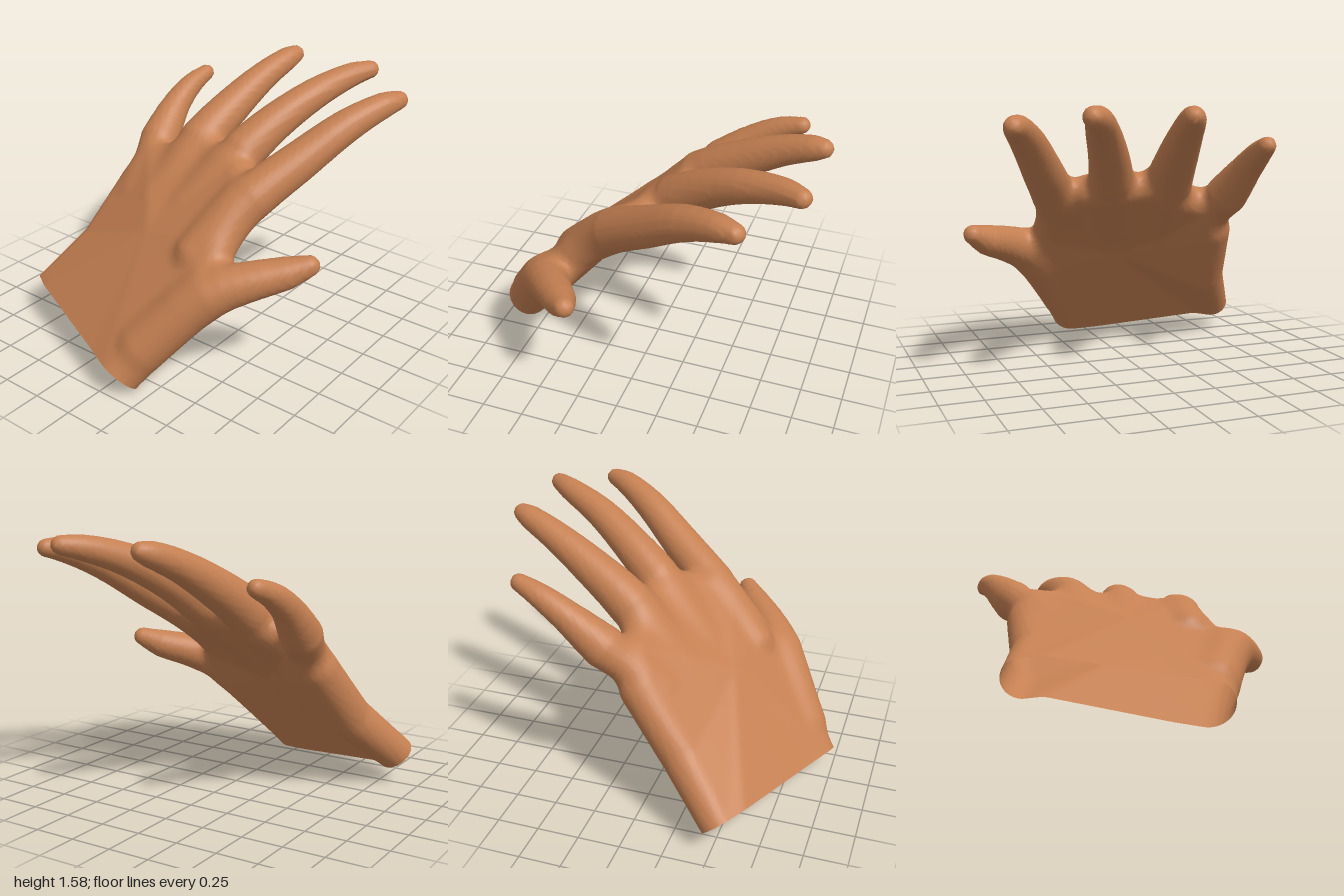
import * as THREE from 'three';

// Hand frame: SIDE across the palm, ALONG towards the fingers, BACK out of its back
const ALONG = new THREE.Vector3(-0.317, -0.728, 0.608).normalize().negate();
const SIDE = ALONG.clone().cross(new THREE.Vector3(-0.26, 0.685, 0.685)).normalize();
const BACK = SIDE.clone().cross(ALONG);
const toWorld = new THREE.Matrix4().makeBasis(SIDE, ALONG, BACK);
const toHand = toWorld.clone().invert();
const handPoint = ([x, y, z]) => new THREE.Vector3(x, y, z).applyMatrix4(toHand);

const STEP = 0.02; // grid size of the skin
const BLEND = 0.07; // softness where the parts meet
const START = [-1.06, -0.44, 0.04]; // the wrist opening lies at the grid's lower ALONG side
const COUNT = [105, 126, 54];

// Middle of the palm and the outline around it: x, y, z, half thickness
const PALM_MIDDLE = [-0.1, 0.7, 0.35, 0.108];
const PALM_EDGE = [
  [-0.95, 0.06, 0.67, 0.11], [-0.84, 0.2, 0.54, 0.11], [-0.645, 0.475, 0.265, 0.13],
  [-0.56, 0.81, -0.01, 0.125], [-0.45, 0.97, -0.08, 0.105], [-0.08, 1.09, -0.14, 0.1],
  [0.24, 1.07, 0, 0.105], [0.36, 0.97, 0.19, 0.11], [0.36, 0.81, 0.37, 0.11],
  [0.37, 0.57, 0.57, 0.12], [0.06, 0.13, 0.89, 0.135], [-0.1, -0.05, 0.99, 0.135],
];

// Each finger runs from inside the palm to its tip: x, y, z, radius
const FINGERS = {
  littleFinger: [[-0.5, 0.8, 0.06, 0.08], [-0.565, 1.05, -0.23, 0.125], [-0.59, 1.22, -0.43, 0.09],
    [-0.585, 1.32, -0.59, 0.07], [-0.565, 1.37, -0.715, 0.052]],
  ringFinger: [[-0.27, 0.82, 0.12, 0.08], [-0.2, 1.14, -0.2, 0.138], [-0.145, 1.31, -0.45, 0.115],
    [-0.085, 1.45, -0.7, 0.09], [-0.035, 1.525, -0.88, 0.073], [-0.014, 1.545, -0.945, 0.055]],
  middleFinger: [[0, 0.88, 0.16, 0.08], [0.15, 1.17, -0.16, 0.132], [0.235, 1.31, -0.35, 0.115],
    [0.355, 1.45, -0.6, 0.095], [0.465, 1.53, -0.84, 0.073], [0.53, 1.55, -0.945, 0.055]],
  indexFinger: [[0.25, 0.78, 0.45, 0.085], [0.415, 1.045, 0.12, 0.132], [0.555, 1.215, -0.13, 0.118],
    [0.705, 1.39, -0.39, 0.098], [0.82, 1.48, -0.6, 0.075], [0.865, 1.495, -0.695, 0.055]],
  thumb: [[0.17, 0.31, 0.8, 0.115], [0.45, 0.63, 0.56, 0.137], [0.63, 0.715, 0.43, 0.112],
    [0.78, 0.765, 0.31, 0.093], [0.885, 0.815, 0.235, 0.06]],
};

// Distance to a padded fan of triangles
function palmDistance() {
  const fan = PALM_EDGE.map((a, i) => {
    const corners = [PALM_MIDDLE, a, PALM_EDGE[(i + 1) % PALM_EDGE.length]];
    return { tri: new THREE.Triangle(...corners.map(handPoint)),
      pad: new THREE.Vector3(...corners.map((c) => c[3])) };
  });
  const near = new THREE.Vector3(), weights = new THREE.Vector3();
  return (p) => {
    let best = Infinity;
    for (const { tri, pad } of fan) {
      tri.closestPointToPoint(p, near);
      tri.getBarycoord(near, weights);
      best = Math.min(best, near.distanceTo(p) - weights.dot(pad));
    }
    return best;
  };
}

// Distance to a tapered round tube along a smooth path
function fingerDistance(path) {
  const curve = new THREE.CatmullRomCurve3(path.map(handPoint), false, 'centripetal');
  const steps = (path.length - 1) * 3, points = curve.getPoints(steps);
  const radii = points.map((_, i) => {
    const u = i / 3, k = Math.min(Math.floor(u), path.length - 2);
    return THREE.MathUtils.lerp(path[k][3], path[k + 1][3], u - k);
  });
  return (p) => {
    let best = Infinity;
    for (let i = 0; i < steps; i++) {
      const a = points[i], b = points[i + 1];
      const dx = b.x - a.x, dy = b.y - a.y, dz = b.z - a.z;
      const px = p.x - a.x, py = p.y - a.y, pz = p.z - a.z;
      const dot = (px * dx + py * dy + pz * dz) / (dx * dx + dy * dy + dz * dz);
      const t = Math.min(1, Math.max(0, dot));
      const dist = Math.hypot(px - dx * t, py - dy * t, pz - dz * t);
      best = Math.min(best, dist - radii[i] - (radii[i + 1] - radii[i]) * t);
    }
    return best;
  };
}

function softMin(a, b) {
  const h = Math.max(BLEND - Math.abs(a - b), 0) / BLEND;
  return Math.min(a, b) - h * h * BLEND / 4;
}

// One smooth skin over all parts; returns the geometry and the triangles of each part
function makeSkin(parts) {
  const [nx, ny, nz] = COUNT, stride = [1, nx, nx * ny];
  const field = new Float32Array(nx * ny * nz), p = new THREE.Vector3();
  const place = (i, j, k) => p.set(START[0] + i * STEP, START[1] + j * STEP, START[2] + k * STEP);
  const each = (from, to, visit) => {
    for (let k = from; k < nz - to; k++)
      for (let j = from; j < ny - to; j++)
        for (let i = from; i < nx - to; i++) visit(i, j, k, i + j * nx + k * nx * ny);
  };
  each(0, 0, (i, j, k, id) => {
    place(i, j, k);
    field[id] = parts.map((d) => d(p)).reduce(softMin);
  });

  // One vertex in each grid cell that the surface crosses
  const positions = [], owner = [], vertexOf = new Map();
  each(0, 1, (i, j, k, id) => {
    const sum = [0, 0, 0];
    let hits = 0;
    for (let c = 0; c < 8; c++) {
      for (let axis = 0; axis < 3; axis++) {
        if (c & (1 << axis)) continue;
        const corner = [c & 1, (c >> 1) & 1, c >> 2];
        const at = id + corner[0] + corner[1] * stride[1] + corner[2] * stride[2];
        const a = field[at], b = field[at + stride[axis]];
        if ((a < 0) === (b < 0)) continue;
        corner[axis] += a / (a - b);
        corner.forEach((v, n) => { sum[n] += v; });
        hits++;
      }
    }
    if (!hits) return;
    // The first row sits exactly on the wrist opening
    place(i + sum[0] / hits, j === 0 ? 0 : j + sum[1] / hits, k + sum[2] / hits);
    const dist = parts.map((d) => d(p));
    owner.push(dist.indexOf(Math.min(...dist)));
    vertexOf.set(id, positions.length / 3);
    p.applyMatrix4(toWorld);
    positions.push(p.x, p.y, p.z);
  });

  // One quad around each grid edge that the surface crosses
  const faces = parts.map(() => []);
  each(1, 1, (i, j, k, id) => {
    for (let axis = 0; axis < 3; axis++) {
      const inside = field[id] < 0;
      if (inside === field[id + stride[axis]] < 0) continue;
      const b = stride[(axis + 1) % 3], c = stride[(axis + 2) % 3];
      const q = [id, id - b, id - b - c, id - c].map((n) => vertexOf.get(n));
      if (!inside) q.reverse();
      faces[owner[q[0]]].push(q[0], q[1], q[2], q[0], q[2], q[3]);
    }
  });
  const geometry = new THREE.BufferGeometry();
  geometry.setAttribute('position', new THREE.Float32BufferAttribute(positions, 3));
  geometry.setIndex(faces.flat());
  geometry.computeVertexNormals();
  return { geometry, faces };
}

export function createModel() {
  const skin = new THREE.MeshStandardMaterial({ color: 0xc58052, side: THREE.DoubleSide });
  skin.name = 'skin';
  const hand = new THREE.Group();
  hand.name = 'hand';
  const names = ['palm', ...Object.keys(FINGERS)];
  const parts = [palmDistance(), ...Object.values(FINGERS).map(fingerDistance)];
  const { geometry, faces } = makeSkin(parts);
  names.forEach((name, i) => {
    geometry.setIndex(faces[i]);
    const mesh = new THREE.Mesh(geometry.toNonIndexed(), skin);
    mesh.name = name;
    hand.add(mesh);
  });
  return hand;
}
